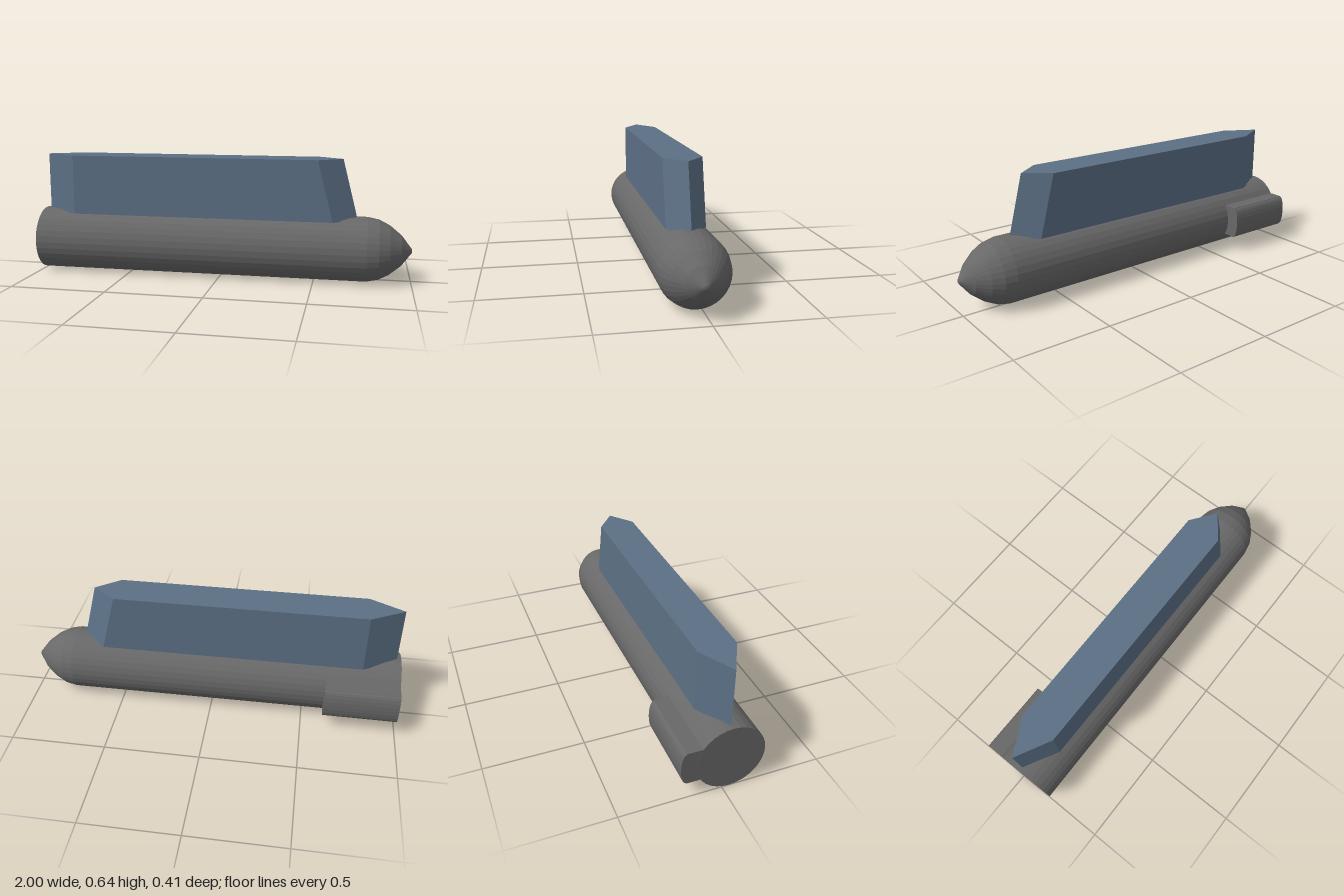
import * as THREE from 'three';

const hullMat = new THREE.MeshStandardMaterial({ color: 0x686868, flatShading: true });
const finMat = new THREE.MeshStandardMaterial({ color: 0x5c7085, flatShading: true });

function add(parent, name, geometry, material) {
  const mesh = new THREE.Mesh(geometry, material);
  mesh.name = name;
  parent.add(mesh);
  return mesh;
}

// Extrude a closed outline given as [x, y] pairs
function prism(points, depth) {
  const shape = new THREE.Shape(points.map(([x, y]) => new THREE.Vector2(x, y)));
  return new THREE.ExtrudeGeometry(shape, { depth, bevelEnabled: false });
}

export function createModel() {
  const model = new THREE.Group();
  model.name = 'finnedTube';

  // Round hull with a blunt pointed nose, turned around the long axis
  const profile = [
    [0, -1], [0.169, -1], [0.169, 0.77], [0.157, 0.83],
    [0.129, 0.885], [0.08, 0.945], [0.011, 0.998], [0, 1],
  ].map(([r, x]) => new THREE.Vector2(r, x));
  const hull = add(model, 'hull', new THREE.LatheGeometry(profile, 32).rotateZ(-Math.PI / 2), hullMat);
  hull.position.set(0, 0.171, 0.033);
  hull.rotation.y = 0.005;

  // Six-sided fin; its front end leans back towards the top
  const bottom = 0.322, top = 0.64;
  const finGeo = prism([
    [-0.978, 0], [-0.8, -0.095], [0.595, -0.095],
    [0.72, 0], [0.595, 0.095], [-0.8, 0.095],
  ], top - bottom);
  finGeo.rotateX(-Math.PI / 2);
  const pos = finGeo.attributes.position;
  for (let i = 0; i < pos.count; i++) {
    if (pos.getX(i) > 0) pos.setX(i, pos.getX(i) - 0.082 * pos.getY(i) / (top - bottom));
  }
  finGeo.computeVertexNormals();
  const fin = add(model, 'fin', finGeo, finMat);
  fin.position.set(0, bottom, 0.033);
  fin.rotation.y = 0.003;

  // Side pod at the tail with a bulged outer face; outline is [z, y]
  const pod = [[-0.06, 0.088], [-0.06, 0.264], [-0.18, 0.264]];
  const bulge = 10;
  for (let i = 0; i <= bulge; i++) {
    const a = Math.PI / 2 - (i / bulge) * Math.PI;
    pod.push([-0.182 - 0.024 * Math.cos(a), 0.176 + 0.084 * Math.sin(a)]);
  }
  pod.push([-0.18, 0.088]);
  // Swing the outline's plane so the extrusion runs along x
  const podGeo = prism(pod.map(([z, y]) => [-z, y]), 0.388).rotateY(Math.PI / 2);
  podGeo.translate(-1, 0, 0);
  add(model, 'sidePod', podGeo, hullMat);

  return model;
}
